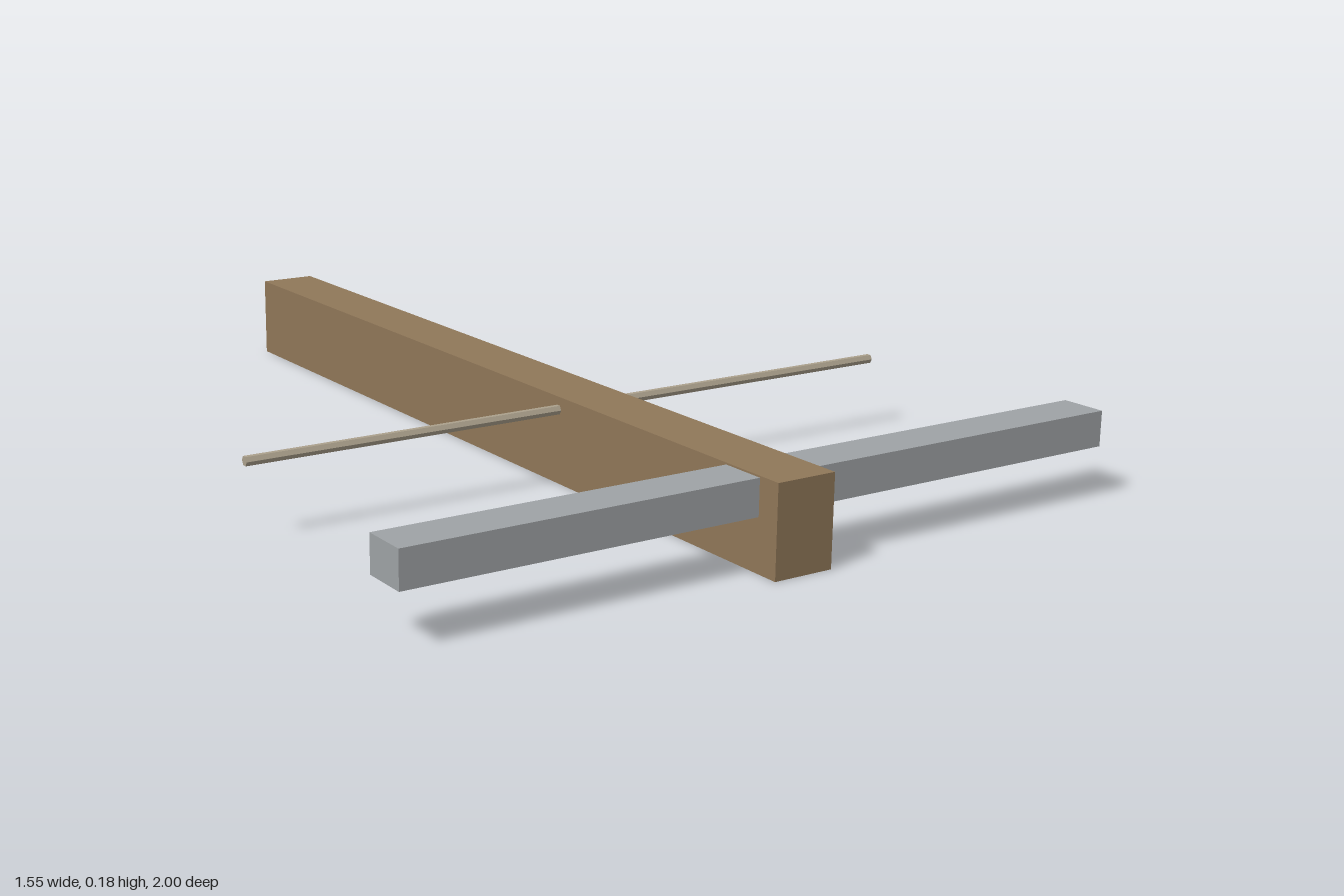
import * as THREE from 'three';

export function createModel() {
  const model = new THREE.Group();
  model.name = 'crossBeamFrame';

  const material = (name, color) => {
    const m = new THREE.MeshStandardMaterial({ color });
    m.name = name;
    return m;
  };
  const brown = material('brown wood', 0x8f7758);
  const grey = material('grey metal', 0x9ea2a5);
  const tan = material('pale rod', 0xaba08c);
  tan.flatShading = true;

  const add = (name, geometry, mat, x, y, z) => {
    const mesh = new THREE.Mesh(geometry, mat);
    mesh.name = name;
    mesh.position.set(x, y, z);
    model.add(mesh);
    return mesh;
  };

  // Long main beam resting on the ground
  add('mainBeam', new THREE.BoxGeometry(0.125, 0.178, 2), brown, 0, 0.089, 0);

  // Square bar through the front end of the beam
  add('crossBar', new THREE.BoxGeometry(1.546, 0.071, 0.094), grey, 0, 0.139, 0.903);

  // Thin six-sided rod through the beam
  const rod = new THREE.CylinderGeometry(0.01, 0.01, 1.48, 6);
  rod.rotateZ(Math.PI / 2);
  add('thinRod', rod, tan, 0, 0.152, 0.322);

  return model;
}
